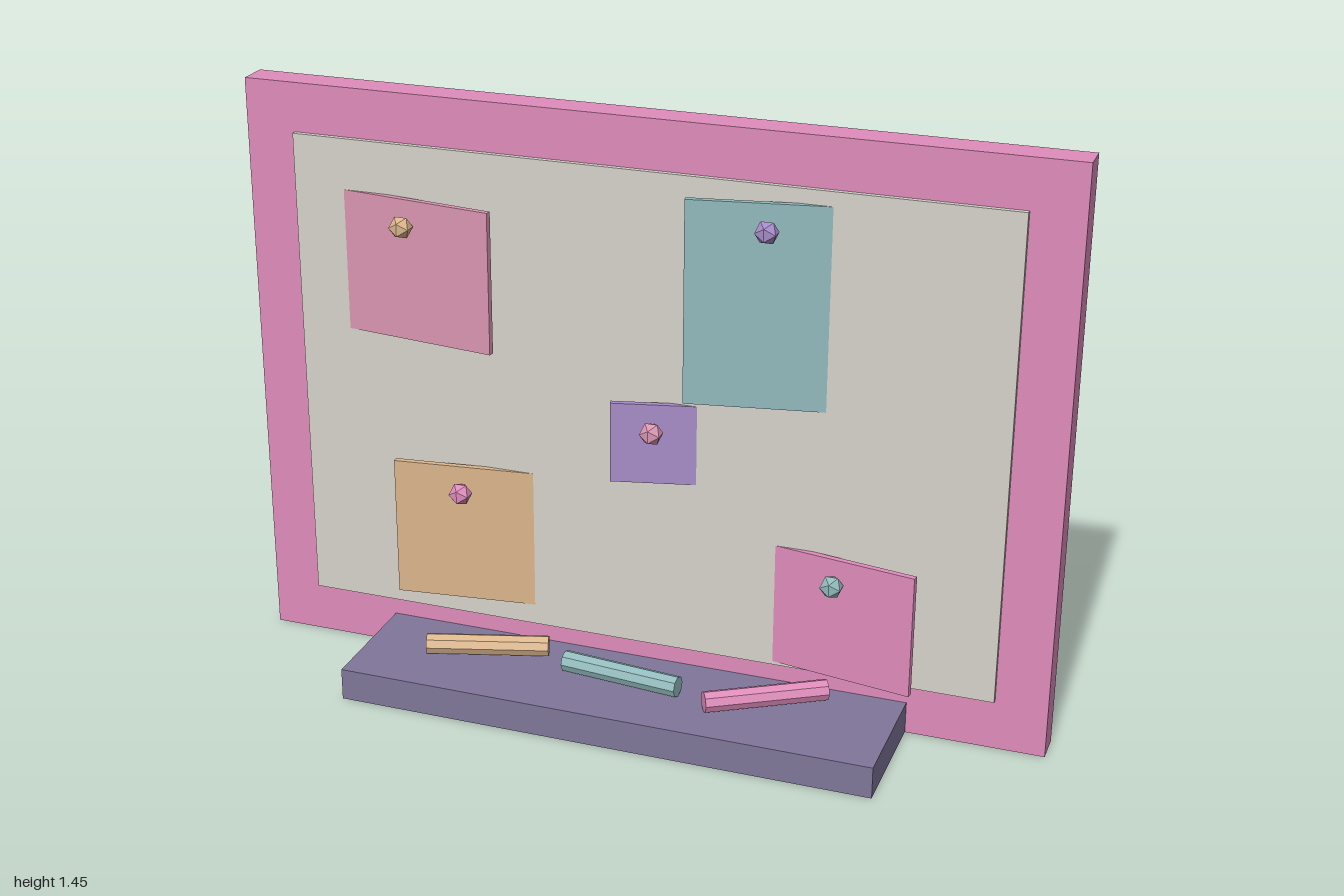
import * as THREE from 'three';

const PINK = 0xdf8cbb, TAN = 0xdcb68c, TEAL = 0x92babc, PURPLE = 0xa78cc8, ROSE = 0xda96b2;

function part(name, geometry, color, x, y, z) {
  const material = new THREE.MeshStandardMaterial({ color, flatShading: true });
  const mesh = new THREE.Mesh(geometry, material);
  mesh.name = name;
  mesh.position.set(x, y, z);
  return mesh;
}

// Box given by its min and max corners
function block(name, color, [x0, y0, z0], [x1, y1, z1]) {
  return part(name, new THREE.BoxGeometry(x1 - x0, y1 - y0, z1 - z0), color,
    (x0 + x1) / 2, (y0 + y1) / 2, (z0 + z1) / 2);
}

// Sheet whose front runs from a free end standing off the board to an end sunk in it
function note(color, xFree, zFree, xSunk, y0, y1) {
  const thick = 0.015, dx = xSunk - xFree, dz = -0.106 - zFree;
  const angle = Math.atan(-dz / dx);
  const geometry = new THREE.BoxGeometry(Math.hypot(dx, dz), y1 - y0, thick);
  geometry.translate(0, 0, -thick / 2);
  const mesh = part('note', geometry, color, (xFree + xSunk) / 2, (y0 + y1) / 2, zFree + dz / 2);
  mesh.rotation.y = angle;
  return mesh;
}

export function createModel() {
  const model = new THREE.Group();
  model.name = 'noticeBoard';

  // Board, raised panel and tray
  model.add(
    block('frame', PINK, [-1, 0, -0.195], [1, 1.445, -0.118]),
    block('panel', 0xd6d1ca, [-0.875, 0.128, -0.13], [0.875, 1.325, -0.105]),
    block('tray', 0x80779a, [-0.665, 0, -0.12], [0.665, 0.08, 0.195]),
  );

  // Notes: color, free end x and z, sunk end x, bottom, top
  [
    [ROSE, -0.36, -0.054, -0.755, 0.85, 1.2],
    [TEAL, 0.122, -0.045, 0.452, 0.8, 1.29],
    [PURPLE, -0.06, -0.057, 0.142, 0.57, 0.77],
    [TAN, -0.625, -0.062, -0.268, 0.18, 0.535],
    [PINK, 0.684, -0.047, 0.33, 0.137, 0.445],
  ].forEach((n) => model.add(note(...n)));

  // Push pins
  [
    [TAN, -0.58, 1.14], [PURPLE, 0.31, 1.23], [ROSE, 0.042, 0.707],
    [PINK, -0.448, 0.475], [TEAL, 0.487, 0.386],
  ].forEach(([color, x, y]) =>
    model.add(part('pin', new THREE.IcosahedronGeometry(0.029), color, x, y, -0.057)));

  // Markers lying on the tray
  const markerShape = new THREE.CylinderGeometry(0.026, 0.026, 0.3, 8).rotateZ(Math.PI / 2);
  [
    [TAN, -0.36, 0, 0.3], [TEAL, -0.003, 0.024, -0.1], [PINK, 0.354, 0.008, 0.55],
  ].forEach(([color, x, z, turn]) => {
    const marker = part('marker', markerShape, color, x, 0.106, z);
    marker.rotation.y = turn;
    model.add(marker);
  });

  return model;
}
